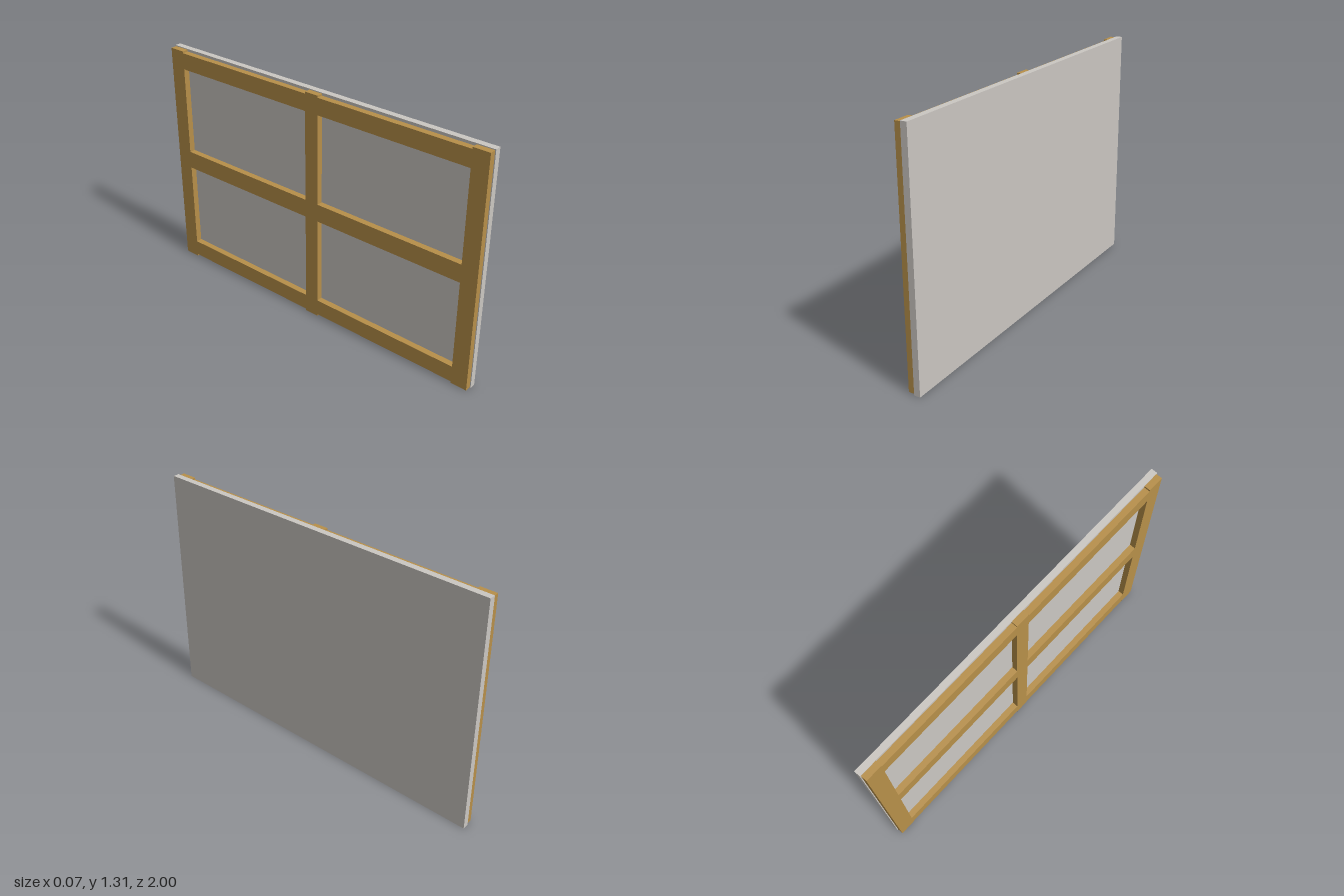
import * as THREE from 'three';

const canvasMaterial = new THREE.MeshStandardMaterial({ color: 0xccc8c3 });
const woodMaterial = new THREE.MeshStandardMaterial({ color: 0xb8904a });

// Box given by its min and max corner on each axis
function addBox(parent, name, material, [x0, x1], [y0, y1], [z0, z1]) {
  const mesh = new THREE.Mesh(new THREE.BoxGeometry(x1 - x0, y1 - y0, z1 - z0), material);
  mesh.position.set((x0 + x1) / 2, (y0 + y1) / 2, (z0 + z1) / 2);
  mesh.name = name;
  parent.add(mesh);
}

export function createModel() {
  const model = new THREE.Group();
  model.name = 'framedPanel';

  // Flat panel
  addBox(model, 'panel', canvasMaterial, [0, 0.034], [0, 1.31], [-1, 1]);

  // Wooden stretcher frame behind the panel
  const frame = new THREE.Group();
  frame.name = 'stretcherFrame';
  model.add(frame);
  const depth = [-0.034, 0];

  // Uprights, slightly taller than the outer rails
  const uprights = { backUpright: [-0.995, -0.905], middleUpright: [-0.04, 0.04], frontUpright: [0.905, 0.995] };
  for (const [name, z] of Object.entries(uprights)) {
    addBox(frame, name, woodMaterial, depth, [0.005, 1.305], z);
  }

  // Rails fitted between the uprights
  const rails = { bottomRail: [0.015, 0.107], middleRail: [0.605, 0.705], topRail: [1.203, 1.295] };
  for (const [name, y] of Object.entries(rails)) {
    addBox(frame, name, woodMaterial, depth, y, [-0.905, -0.04]);
    addBox(frame, name, woodMaterial, depth, y, [0.04, 0.905]);
  }

  return model;
}
